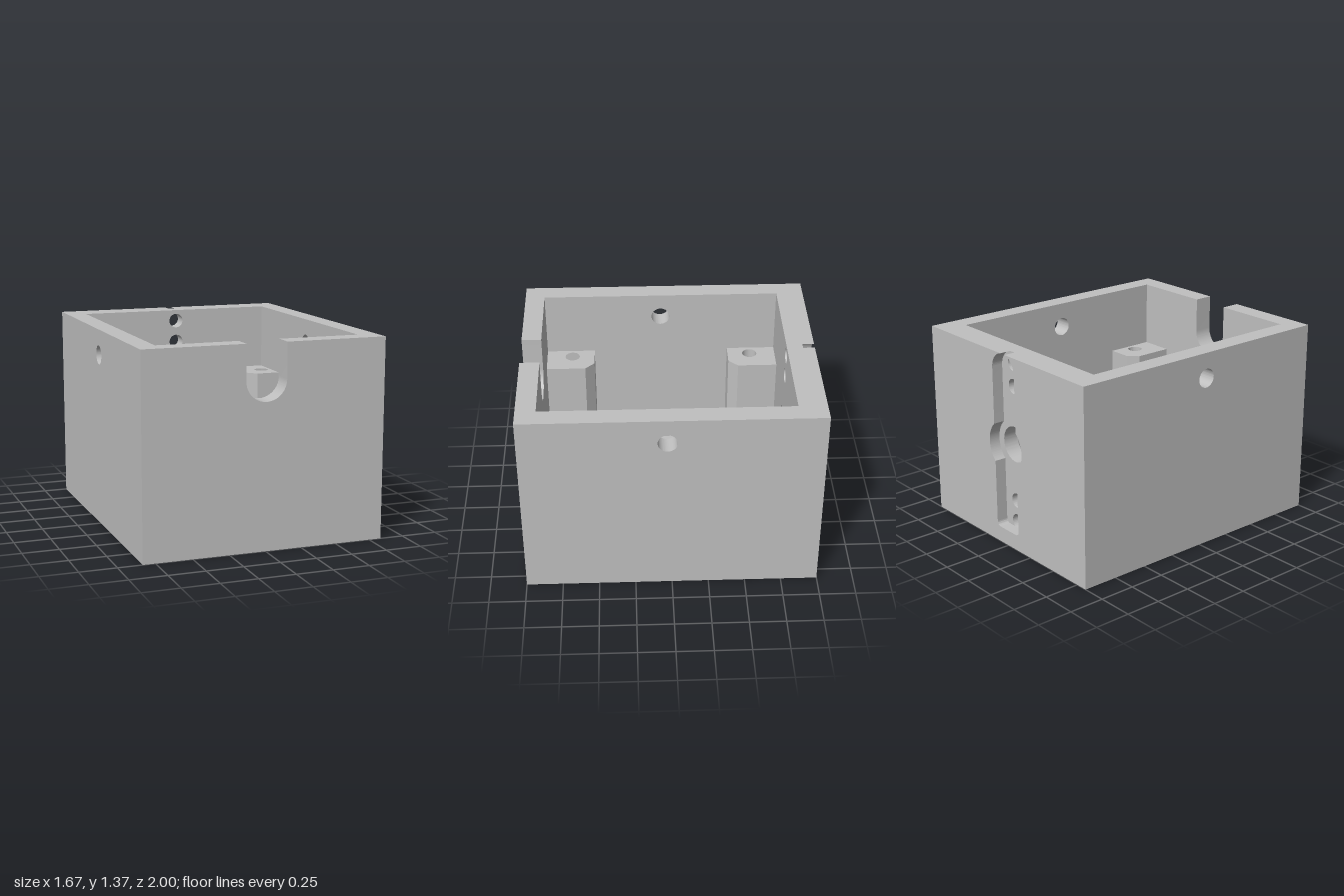
import * as THREE from 'three';
import { toCreasedNormals } from 'three/addons/utils/BufferGeometryUtils.js';

const W = 0.835, H = 1.37;            // outer half width and height
const IX = 0.7, ZB = -0.81, ZF = 0.865; // inner cavity limits
const FLOOR = 0.1;

const grey = new THREE.MeshStandardMaterial({ color: 0xc0c0c0 });
grey.name = 'grey plastic';

const polygon = (pts) => new THREE.Shape(pts.map(([x, y]) => new THREE.Vector2(x, y)));

const rect = (x0, y0, x1, y1) => polygon([[x0, y0], [x1, y0], [x1, y1], [x0, y1]]);

function drill(shape, x, y, r) {
  shape.holes.push(new THREE.Path().absarc(x, y, r, 0, Math.PI * 2, true));
  return shape;
}

function extrude(shape, depth) {
  const g = new THREE.ExtrudeGeometry(shape, { depth, bevelEnabled: false, curveSegments: 48 });
  return toCreasedNormals(g, 0.5);
}

export function createModel() {
  const group = new THREE.Group();
  group.name = 'housing';
  const add = (name, geometry) => {
    const mesh = new THREE.Mesh(geometry, grey);
    mesh.name = name;
    group.add(mesh);
  };

  // Floor with the large round opening (shape y runs towards -z)
  const floor = drill(rect(-IX, -ZF, IX, -ZB), 0, -0.025, 0.653);
  add('floor', extrude(floor, FLOOR).rotateX(-Math.PI / 2));

  // Side walls, each with one round hole
  const side = drill(rect(ZB, 0, ZF, H), 0.03, 1.195, 0.065);
  for (const [name, x] of [['leftWall', W], ['rightWall', -IX]]) {
    add(name, extrude(side, W - IX).rotateY(-Math.PI / 2).translate(x, 0, 0));
  }

  // Front wall with a U-shaped notch open at the top
  const front = new THREE.Shape();
  front.moveTo(-W, 0).lineTo(W, 0).lineTo(W, H).lineTo(0.14, H).lineTo(0.14, 1.13);
  front.absarc(0, 1.13, 0.14, 0, Math.PI, true);
  front.lineTo(-0.14, H).lineTo(-W, H);
  add('frontWall', extrude(front, 1 - ZF).translate(0, 0, ZF));

  // Back wall, inner layer: central hole and four screw holes
  const back = drill(rect(-W, 0, W, H), 0, 0.72, 0.125);
  for (const y of [0.155, 0.31, 1.13, 1.29]) drill(back, 0, y, 0.052);
  add('backWallInner', extrude(back, 0.11).translate(0, 0, -0.92));

  // Back wall, outer layer: slot with a round middle, just breaking the top edge
  const a = Math.acos(0.2), b = Math.acos(0.12 / 0.18), PI = Math.PI;
  const topY = H - 0.12 * Math.sin(a);
  const slot = new THREE.Shape();
  slot.moveTo(-W, 0).lineTo(W, 0).lineTo(W, H).lineTo(0.024, H);
  slot.absarc(0, topY, 0.12, a, 0, true);
  slot.absarc(0, 0.72, 0.18, b, -b, true);
  slot.absarc(0.09, 0.14, 0.03, 0, -PI / 2, true);
  slot.absarc(-0.09, 0.14, 0.03, -PI / 2, -PI, true);
  slot.absarc(0, 0.72, 0.18, PI + b, PI - b, true);
  slot.absarc(0, topY, 0.12, PI, PI - a, true);
  slot.lineTo(-W, H);
  add('backWallOuter', extrude(slot, 0.08).translate(0, 0, -1));

  // Chamfered corner posts: solid base, drilled upper part
  const postTop = 0.907, holeBottom = 0.45;
  for (const sx of [-1, 1]) {
    for (const sz of [-1, 1]) {
      const wall = sz < 0 ? ZB : ZF;
      const outline = [[0.465, 0], [IX, 0], [IX, 0.347], [0.53, 0.347], [0.465, 0.28]]
        .map(([x, d]) => [sx * x, -(wall - sz * d)]);
      const drilled = drill(polygon(outline), sx * 0.625, -(wall - sz * 0.185), 0.052);
      const name = (sz < 0 ? 'back' : 'front') + (sx < 0 ? 'Right' : 'Left') + 'Post';
      add(name + 'Base', extrude(polygon(outline), holeBottom - FLOOR)
        .rotateX(-PI / 2).translate(0, FLOOR, 0));
      add(name + 'Top', extrude(drilled, postTop - holeBottom)
        .rotateX(-PI / 2).translate(0, holeBottom, 0));
    }
  }
  return group;
}
